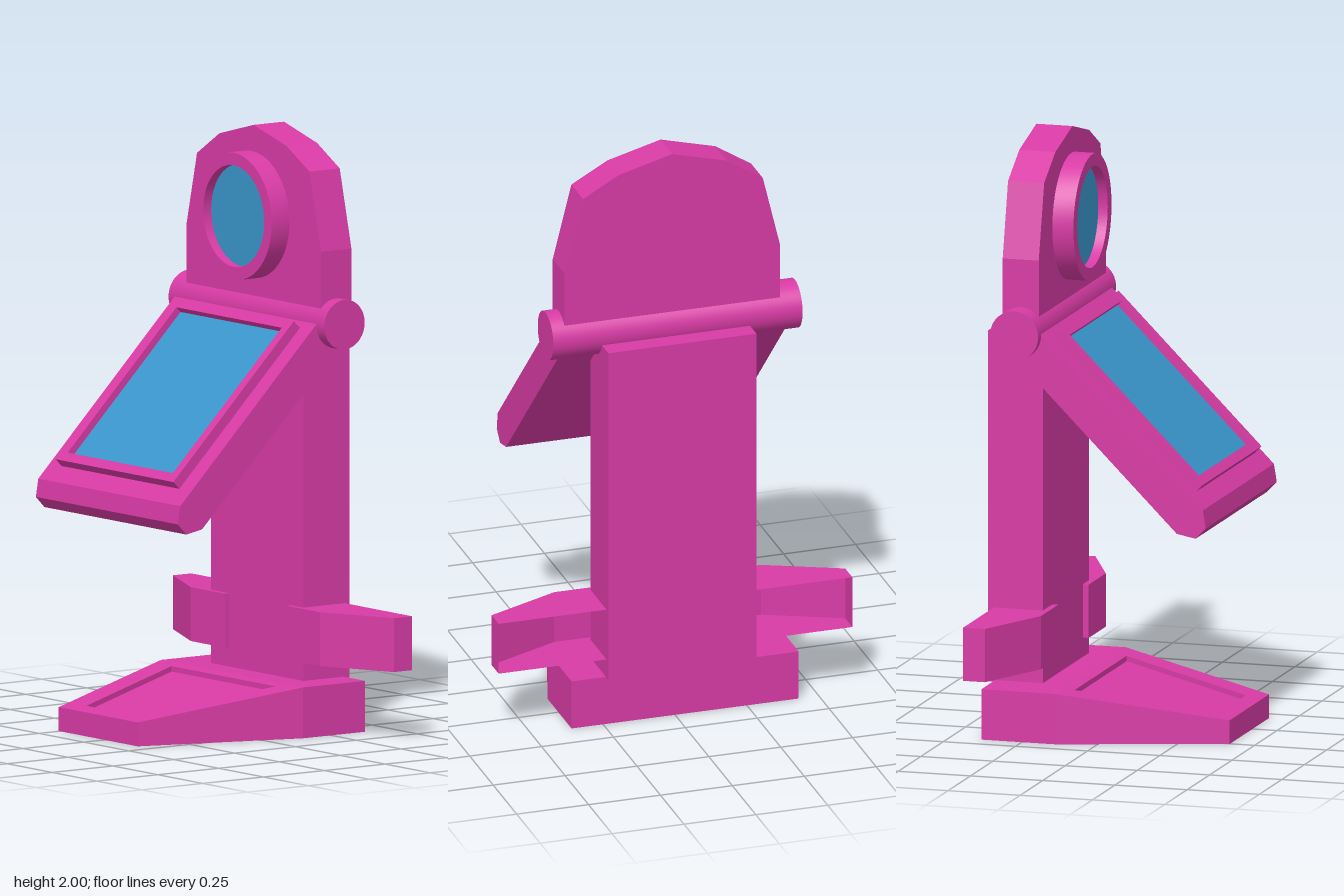
import * as THREE from 'three';
import { toCreasedNormals } from 'three/addons/utils/BufferGeometryUtils.js';

const pink = new THREE.MeshStandardMaterial({ color: 0xd83ba5 });
const pinkThin = new THREE.MeshStandardMaterial({ color: 0xd83ba5, side: THREE.DoubleSide, flatShading: true });
const blue = new THREE.MeshStandardMaterial({ color: 0x3a96cc });

const shapeOf = (pts) => new THREE.Shape(pts.map(([x, y]) => new THREE.Vector2(x, y)));
const extrude = (shape, depth) => new THREE.ExtrudeGeometry(shape, { depth, bevelEnabled: false });

export function createModel() {
  const model = new THREE.Group();
  const add = (name, geometry, material = pink, parent = model) => {
    const mesh = new THREE.Mesh(geometry, material);
    mesh.name = name;
    parent.add(mesh);
    return mesh;
  };
  const box = (name, x0, x1, y0, y1, z0, z1, material, parent) =>
    add(name, new THREE.BoxGeometry(x1 - x0, y1 - y0, z1 - z0), material, parent)
      .position.set((x0 + x1) / 2, (y0 + y1) / 2, (z0 + z1) / 2);

  // Foot: flat heel block and a tapered, sloping toe with a shallow recess
  const foot = new THREE.Group();
  foot.name = 'foot';
  foot.position.z = -0.035;
  model.add(foot);
  box('heel', 0.135, 0.39, 0, 0.17, -0.395, 0.395, pink, foot);
  const topAt = (x) => 0.08 + 0.09 * (x + 0.415) / 0.55;
  const trapezoid = (x0, w0, x1, w1) => [[x0, -w0], [x1, -w1], [x1, w1], [x0, w0]];
  const slopedSlab = (shape, low, high) => {
    const g = extrude(shape, 1).rotateX(-Math.PI / 2);
    const p = g.attributes.position;
    for (let i = 0; i < p.count; i++) {
      const x = p.getX(i);
      p.setY(i, p.getY(i) > 0.5 ? high(x) : low(x));
    }
    g.computeVertexNormals();
    return g;
  };
  const toe = trapezoid(-0.415, 0.22, 0.135, 0.395);
  const rim = shapeOf(toe);
  rim.holes.push(shapeOf(trapezoid(-0.36, 0.14, 0.1, 0.29)));
  const floorAt = (x) => topAt(x) - 0.018;
  add('toe', slopedSlab(shapeOf(toe), () => 0, floorAt), pink, foot);
  add('toeRim', slopedSlab(rim, floorAt, topAt), pink, foot);

  // Upright column
  box('column', 0.225, 0.415, 0.165, 1.35, -0.275, 0.24);

  // Side arms: thin shells, open at the back
  const path = [[0.395, 0.17], [0.205, 0.17], [0.205, 0.36], [0.32, 0.615], [0.395, 0.615]];
  for (const side of [1, -1]) {
    const pos = [], index = [];
    for (const [x, z] of path) pos.push(x, 0.235, z * side, x, 0.415, z * side);
    for (let i = 0; i < path.length - 1; i++) {
      const a = 2 * i;
      index.push(a, a + 2, a + 1, a + 1, a + 2, a + 3);
      // lower and upper plates as fans from the first corner
      if (i > 0) index.push(0, a + 2, a, 1, a + 1, a + 3);
    }
    if (side < 0) index.reverse();
    const g = new THREE.BufferGeometry();
    g.setAttribute('position', new THREE.Float32BufferAttribute(pos, 3));
    g.setIndex(index);
    g.computeVertexNormals();
    add(side > 0 ? 'frontArm' : 'rearArm', g, pinkThin);
  }

  // Hinge bar
  const hinge = add('hinge', new THREE.CylinderGeometry(0.083, 0.083, 0.867, 48).rotateX(Math.PI / 2));
  hinge.position.set(0.268, 1.376, -0.023);

  // Tilted flap with a rounded lower edge
  const flap = shapeOf([[0.225, 1.42], [-0.375, 0.82], [-0.385, 0.76], [-0.35, 0.723], [-0.285, 0.735], [0.312, 1.332]]);
  add('flap', extrude(flap, 0.79)).position.z = -0.423;

  // Screen and its frame, lying on the flap at 45 degrees
  const screenGroup = new THREE.Group();
  screenGroup.name = 'screenGroup';
  screenGroup.rotation.z = Math.PI / 4;
  model.add(screenGroup);
  const rect = (w, h) => [[-w, -h], [w, -h], [w, h], [-w, h]];
  const frameShape = shapeOf(rect(0.35, 0.328));
  frameShape.holes.push(shapeOf(rect(0.316, 0.293)));
  const frame = add('screenFrame', extrude(frameShape, 0.04).rotateX(-Math.PI / 2), pink, screenGroup);
  frame.position.set(0.73, 0.84, -0.028);
  box('screen', 0.414, 1.046, 0.835, 0.856, -0.321, 0.265, blue, screenGroup);

  // Faceted head plate
  const head = shapeOf([[-0.365, 1.4], [-0.365, 1.62], [-0.3, 1.88], [-0.175, 1.95], [0.01, 2],
    [0.2, 1.95], [0.325, 1.87], [0.385, 1.62], [0.385, 1.4]]);
  add('head', extrude(head, 0.125).rotateY(Math.PI / 2)).position.x = 0.205;

  // Round lens with a raised rim
  const rimProfile = [[0.212, -0.005], [0.212, 0.073], [0.17, 0.073], [0.17, 0]].map(([r, y]) => new THREE.Vector2(r, y));
  const lensRim = add('lensRim', toCreasedNormals(new THREE.LatheGeometry(rimProfile, 48), 0.6).rotateZ(Math.PI / 2));
  lensRim.position.set(0.205, 1.7, -0.022);
  const lens = add('lens', new THREE.CylinderGeometry(0.17, 0.17, 0.04, 48).rotateZ(Math.PI / 2), blue);
  lens.position.set(0.185, 1.7, -0.022);

  return model;
}
